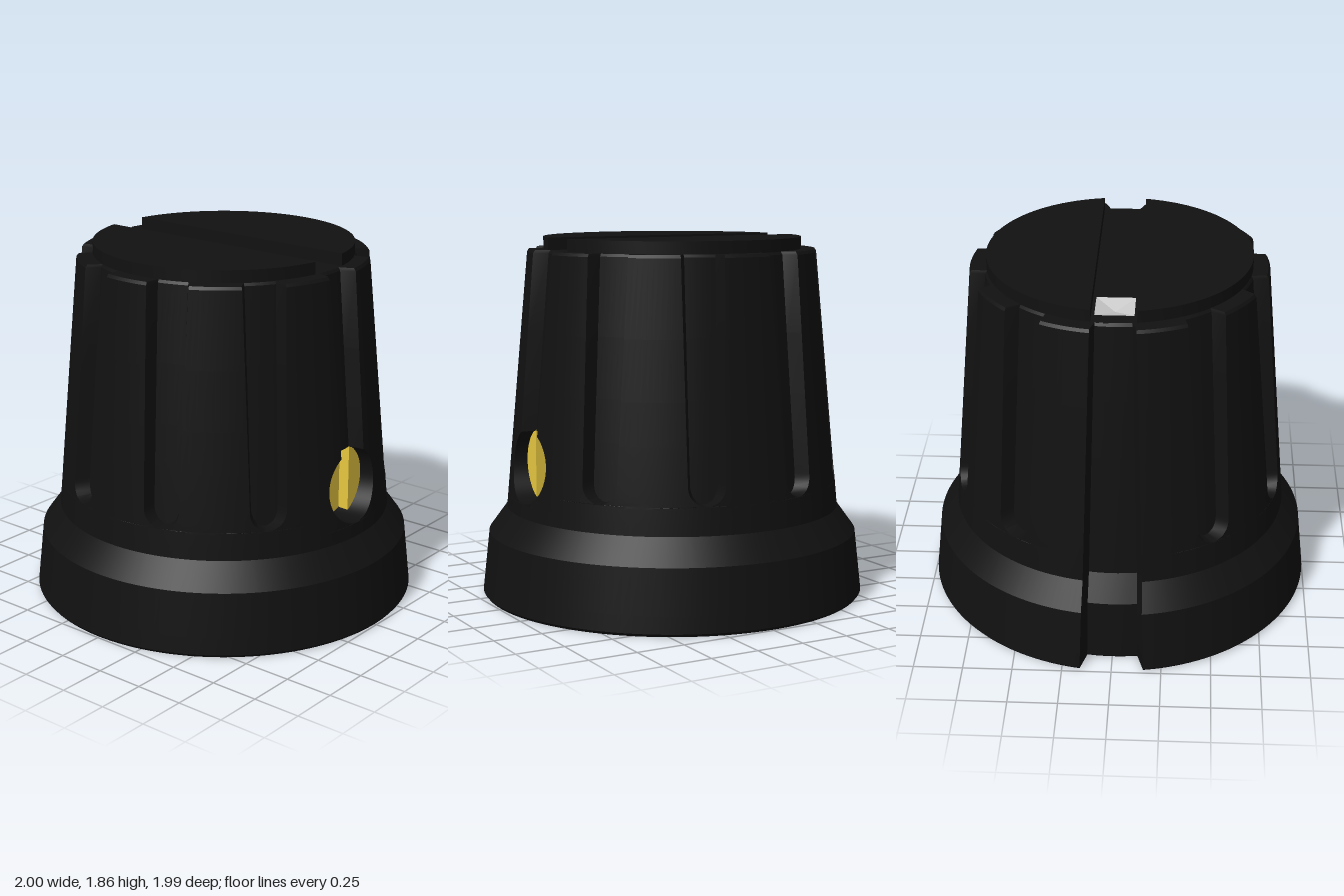
import * as THREE from 'three';
import { toCreasedNormals } from 'three/addons/utils/BufferGeometryUtils.js';

const SECTORS = 10, HALF = Math.PI / SECTORS;
const SCREW_Y = 0.72, SCREW_R = 0.19;

const black = new THREE.MeshStandardMaterial({ color: 0x111111, side: THREE.DoubleSide });
const yellow = new THREE.MeshStandardMaterial({ color: 0xe8c840, side: THREE.DoubleSide });
const grey = new THREE.MeshStandardMaterial({ color: 0xcccccc, side: THREE.DoubleSide });

// Outer profile: radius by height
const PROFILE = [[0, 0.988], [0.015, 1], [0.33, 0.965], [0.46, 0.87], [1.785, 0.75], [1.8, 0.74]];
function bodyRadius(y) {
  for (let i = 1; i < PROFILE.length; i++) {
    const [y0, r0] = PROFILE[i - 1], [y1, r1] = PROFILE[i];
    if (y <= y1) return r0 + (r1 - r0) * (y - y0) / (y1 - y0);
  }
  return PROFILE.at(-1)[1];
}

// Cut in one sector at one height: half width at the surface, at the floor, and depth
function cutAt(sector, y) {
  if (sector === SECTORS / 2) { // pointer notch, full height at the back
    const w = 0.16 - 0.05 * y / 1.8;
    return { w, wf: w * 0.9, d: y < 0.46 ? 0.115 - 0.035 * y / 0.46 : 0.08 - 0.005 * (y - 0.46) / 1.34 };
  }
  if (sector === 0 && y <= 0.8841) { // round screw hole at the front
    if (y < 0.53) return { w: 0.09, wf: 0.08, d: 0 };
    const w = Math.max(0.003, Math.sqrt(Math.max(0, SCREW_R ** 2 - (y - SCREW_Y) ** 2)));
    return { w, wf: w * 0.99, d: bodyRadius(y) - 0.68 };
  }
  if (y < 0.6) return { w: 0.09, wf: 0.07, d: 0 };
  let w = 0.092 + 0.016 * (y - 0.6) / 1.2; // flute with a rounded lower end
  if (y < 0.69) w *= Math.max(0.03, Math.sqrt(Math.max(0, 1 - ((0.69 - y) / 0.09) ** 2)));
  return { w, wf: w * 0.8, d: 0.075 };
}

// Fluted shell: rows of rings, with columns that follow the edges of the cuts
function shellGeometry() {
  const ys = [0, 0.015, 0.1, 0.33, 0.46, 0.528, 0.598, 0.6, 0.603, 0.884, 0.888, 1.1, 1.4, 1.785, 1.8];
  for (let i = 0; i <= 28; i++) {
    const y = SCREW_Y - SCREW_R * Math.cos(Math.PI * i / 28);
    if (y < 0.88) ys.push(y);
  }
  ys.sort((a, b) => a - b);
  const rows = [{ y: 0.33, r: 0.67, cutY: 0 }, { y: 0, r: 0.67, cutY: 0 },
    ...ys.map(y => ({ y, cutY: y })), { y: 1.8, r: 0.66, cutY: 1.8 }];

  const pos = [], idx = [];
  let cols = 0;
  for (const row of rows) {
    const R = bodyRadius(row.cutY);
    let n = 0;
    for (let s = 0; s < SECTORS; s++) {
      const { w, wf, d } = cutAt(s, row.cutY);
      const a = Math.asin(w / R), af = Math.asin(wf / R);
      for (const [from, to, r] of [[-HALF, -a, R], [-af, af, R - d], [a, HALF, R]]) {
        for (let k = 0; k <= 5; k++, n++) {
          const t = s * 2 * HALF + from + (to - from) * k / 5;
          const rad = row.r ?? r;
          pos.push(Math.sin(t) * rad, row.y, Math.cos(t) * rad);
        }
      }
    }
    cols = n;
  }
  for (let j = 0; j < rows.length - 1; j++) {
    for (let i = 0; i < cols; i++) {
      const a = j * cols + i, b = j * cols + (i + 1) % cols;
      idx.push(a, b, b + cols, a, b + cols, a + cols);
    }
  }
  const g = new THREE.BufferGeometry();
  g.setAttribute('position', new THREE.Float32BufferAttribute(pos, 3));
  g.setIndex(idx);
  return toCreasedNormals(g, 0.4);
}

// Part of a disc beyond x = cut, extruded along z
function discSegment(radius, cut, depth) {
  const a = Math.acos(cut / radius);
  const shape = new THREE.Shape();
  shape.absarc(0, 0, radius, -a, a, false);
  shape.closePath();
  return toCreasedNormals(
    new THREE.ExtrudeGeometry(shape, { depth, bevelEnabled: false, curveSegments: 40 }), 0.5);
}

export function createModel() {
  const model = new THREE.Group();
  const add = (name, geometry, material, parent = model) => {
    const mesh = new THREE.Mesh(geometry, material);
    mesh.name = name;
    parent.add(mesh);
    return mesh;
  };

  add('flutedBody', shellGeometry(), black);

  // Cap: two raised halves either side of a groove
  const cap = new THREE.Group();
  cap.name = 'cap';
  model.add(cap);
  for (const side of [0, Math.PI]) {
    const half = add('capHalf', discSegment(0.666, 0.11, 0.065).rotateX(-Math.PI / 2), black, cap);
    half.position.y = 1.797;
    half.rotation.y = side;
  }

  // Groove floor with a square opening for the marker
  const floor = new THREE.Shape().absarc(0, 0, 0.668, 0, Math.PI * 2, false);
  const m = 0.095, mz = 0.49;
  floor.holes.push(new THREE.Path([[-m, mz - m], [-m, mz + m], [m, mz + m], [m, mz - m]]
    .map(([x, y]) => new THREE.Vector2(x, y))));
  add('grooveFloor', new THREE.ShapeGeometry(floor, 48).rotateX(-Math.PI / 2), black, cap)
    .position.y = 1.799;

  // Marker: shallow four-sided pit
  const pit = new THREE.ConeGeometry(m * Math.SQRT2, 0.03, 4, 1, true)
    .rotateY(Math.PI / 4).rotateX(Math.PI).toNonIndexed();
  pit.computeVertexNormals();
  add('marker', pit, grey).position.set(0, 1.784, -mz);

  // Slotted set screw
  const screw = new THREE.Group();
  screw.name = 'setScrew';
  screw.position.set(0, SCREW_Y, 0);
  model.add(screw);
  add('screwCore', new THREE.CylinderGeometry(0.186, 0.186, 0.1, 40).rotateX(Math.PI / 2), yellow, screw)
    .position.z = 0.65;
  for (const side of [0, Math.PI]) {
    const half = add('screwHalf', discSegment(0.186, 0.068, 0.065), yellow, screw);
    half.position.z = 0.692;
    half.rotation.z = side;
  }

  // Bushing inside the bore
  const bushing = [[0, 1.45], [0.49, 1.45], [0.49, 0.33], [0.67, 0.33]].map(([x, y]) => new THREE.Vector2(x, y));
  add('bushing', toCreasedNormals(new THREE.LatheGeometry(bushing, 64), 0.5), yellow);

  return model;
}
